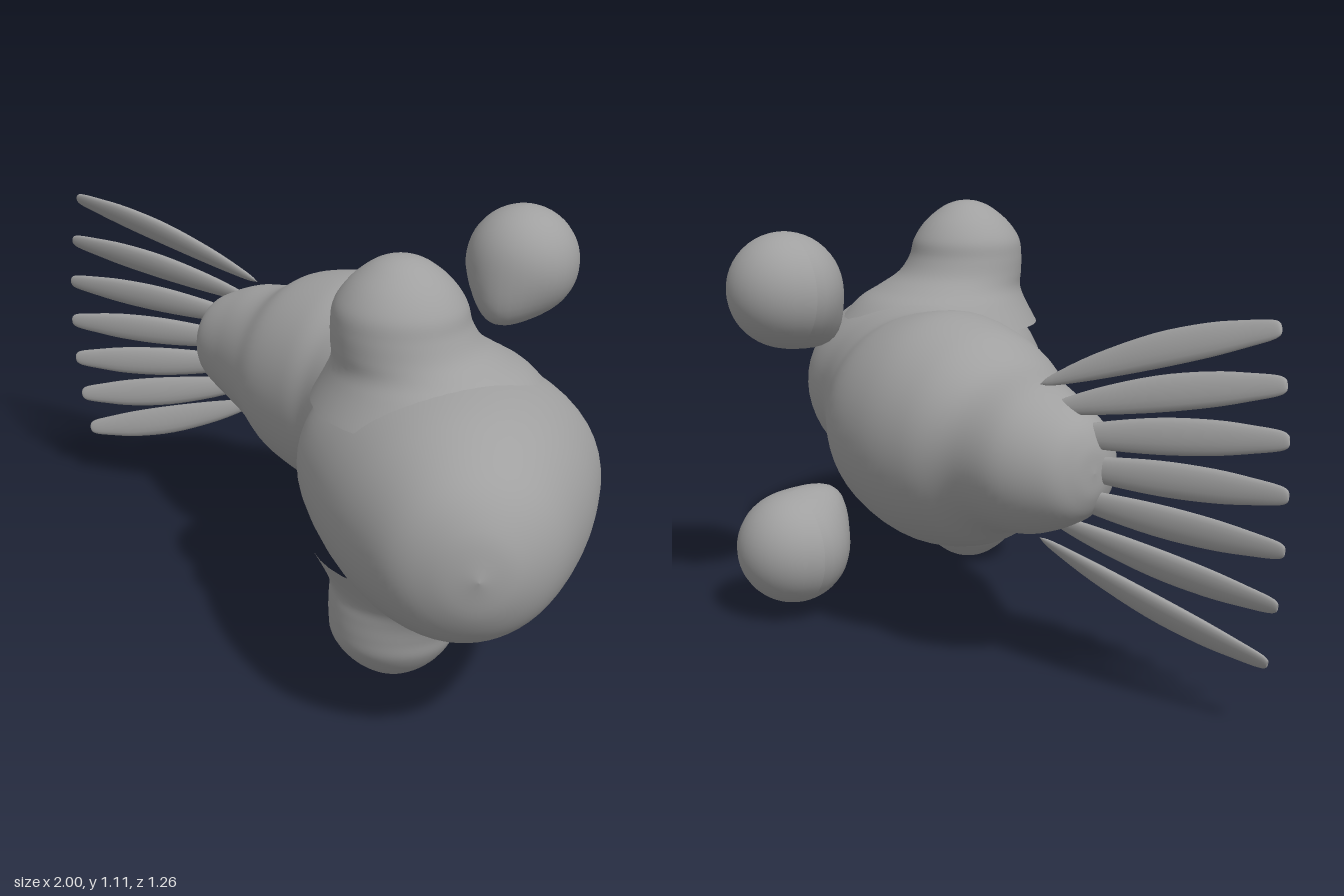
import * as THREE from 'three';

const MID = 0.557; // height of the horizontal mirror plane
const V = (x, y, z) => new THREE.Vector3(x, y, z);

// Smooth skin over elliptical sections [centre, half axis u, half axis v]; u x v points forward.
function loft(sections, steps, segs) {
  const [c, u, v] = [0, 1, 2].map(
    (k) => new THREE.CatmullRomCurve3(sections.map((s) => s[k]), false, 'catmullrom', 0.5));
  const pos = [], index = [];
  for (let i = 0; i <= steps; i++) {
    const t = i / steps, C = c.getPoint(t), U = u.getPoint(t), W = v.getPoint(t);
    for (let j = 0; j < segs; j++) {
      const a = (j / segs) * Math.PI * 2;
      const p = C.clone().addScaledVector(U, Math.cos(a)).addScaledVector(W, Math.sin(a));
      pos.push(p.x, p.y, p.z);
      if (i === steps) continue;
      const k = (j + 1) % segs, r = i * segs, n = r + segs;
      index.push(r + j, r + k, n + j, r + k, n + k, n + j);
    }
  }
  const g = new THREE.BufferGeometry();
  g.setAttribute('position', new THREE.Float32BufferAttribute(pos, 3));
  g.setIndex(index);
  g.computeVertexNormals();
  return g;
}

export function createModel() {
  const group = new THREE.Group();
  const grey = new THREE.MeshStandardMaterial({ color: 0xa0a0a0 });
  grey.name = 'grey';
  const add = (geometry, name) => {
    const mesh = new THREE.Mesh(geometry, grey);
    mesh.name = name;
    group.add(mesh);
    return mesh;
  };

  // Body, tail to head: back edge x, z, front edge x, z, half height
  const body = [
    [-0.58, -0.24, -0.58, -0.24, 0],
    [-0.57, -0.3, -0.572, -0.18, 0.07],
    [-0.53, -0.365, -0.525, -0.115, 0.13],
    [-0.42, -0.425, -0.4, -0.06, 0.183],
    [-0.27, -0.44, -0.28, 0.0, 0.215],
    [-0.14, -0.48, -0.18, 0.05, 0.28],
    [0.02, -0.495, -0.03, 0.09, 0.312],
    [0.2, -0.46, 0.06, 0.11, 0.295],
    [0.38, -0.35, 0.13, 0.16, 0.268],
    [0.55, -0.25, 0.17, 0.22, 0.272],
    [0.72, -0.18, 0.22, 0.32, 0.288],
    [0.84, -0.09, 0.31, 0.41, 0.295],
    [0.92, 0.06, 0.44, 0.505, 0.292],
    [0.97, 0.21, 0.57, 0.575, 0.265],
    [0.998, 0.36, 0.71, 0.622, 0.2],
    [0.975, 0.48, 0.82, 0.607, 0.11],
    [0.915, 0.56, 0.915, 0.56, 0],
  ].map(([ax, az, bx, bz, h]) => [
    V((ax + bx) / 2, MID, (az + bz) / 2),
    V((ax - bx) / 2, 0, (az - bz) / 2),
    V(0, h, 0),
  ]);
  add(loft(body, 96, 56), 'body');

  // Bulb sections: height above the mirror plane, centre x, z, radius
  const bulb = [
    [0.19, 0.51, 0.15, 0.3],
    [0.26, 0.5, 0.16, 0.25],
    [0.3, 0.485, 0.18, 0.212],
    [0.34, 0.468, 0.206, 0.184],
    [0.39, 0.458, 0.22, 0.168],
    [0.44, 0.455, 0.222, 0.157],
    [0.49, 0.455, 0.222, 0.123],
    [0.53, 0.455, 0.222, 0.075],
    [0.548, 0.455, 0.222, 0.035],
    [0.553, 0.455, 0.222, 0],
  ];

  for (const s of [1, -1]) {
    const side = s > 0 ? 'upper' : 'lower';

    // Rounded bulb flaring into the body
    add(loft(bulb.map(([h, x, z, r]) => [V(x, MID + s * h, z), V(r, 0, 0), V(0, 0, -s * r)]), 48, 40),
      side + 'Bulb');

    // Floating ball with a soft point facing the body
    const ball = new THREE.SphereGeometry(0.155, 32, 24);
    const dir = V(0, -s, 1).normalize(), p = ball.attributes.position, q = V(0, 0, 0);
    for (let i = 0; i < p.count; i++) {
      q.fromBufferAttribute(p, i);
      const pull = Math.max(0, q.dot(dir) / 0.155) ** 6 * 0.045;
      q.addScaledVector(dir, pull);
      p.setXYZ(i, q.x, q.y, q.z);
    }
    ball.computeVertexNormals();
    add(ball, side + 'Ball').position.set(0.362, MID + s * 0.357, -0.48);
  }

  // Fan of tail blades: fraction of length, half width, half thickness
  const blade = [
    [0, 0, 0], [0.06, 0.014, 0.007], [0.25, 0.032, 0.014], [0.5, 0.043, 0.017],
    [0.72, 0.041, 0.015], [0.88, 0.031, 0.011], [0.97, 0.023, 0.008], [1, 0.013, 0.005], [1, 0, 0],
  ];
  for (let k = -3; k <= 3; k++) {
    const cup = 0.05 * (1 - (k * k) / 9); // middle blades lean further forward
    const root = V(-0.41, MID + k * 0.064, -0.262);
    const tip = V(-1, MID + k * 0.128, -0.1 + cup);
    const along = tip.clone().sub(root).normalize();
    const tilt = k * 0.12;
    const normal = V(0, tilt, -1).addScaledVector(along, -V(0, tilt, -1).dot(along)).normalize();
    const wide = normal.clone().cross(along);
    const sections = blade.map(([t, w, d]) => {
      const c = root.clone().lerp(tip, t);
      c.y += k * 0.005 * Math.sin(Math.PI * t);
      return [c, wide.clone().multiplyScalar(w), normal.clone().multiplyScalar(d)];
    });
    add(loft(sections, 32, 16), 'tailBlade' + (k + 4));
  }
  return group;
}
